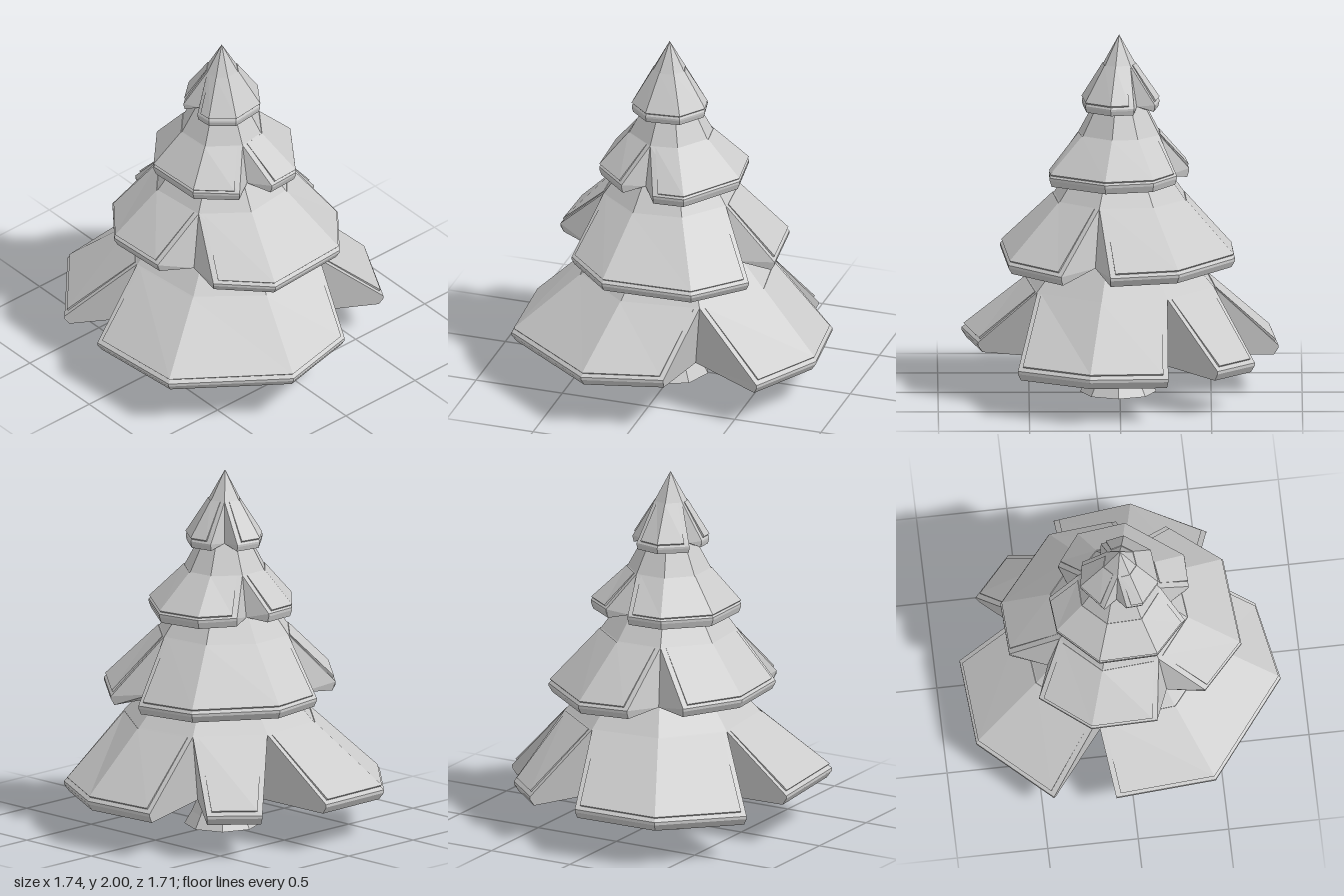
import * as THREE from 'three';

const material = new THREE.MeshStandardMaterial({ color: 0xcccccc, flatShading: true, side: THREE.DoubleSide });
const V = (x, y, z) => new THREE.Vector3(x, y, z);

// Collects triangles and quads into one faceted mesh
function facets(name, build) {
  const pos = [];
  const tri = (...corners) => corners.forEach((p) => pos.push(p.x, p.y, p.z));
  const quad = (a, b, c, d) => { tri(a, b, c); tri(a, c, d); };
  // Band between an upper and a lower row of points running left to right
  const band = (up, low) => {
    for (let i = 0; i + 1 < up.length; i++) quad(up[i], low[i], low[i + 1], up[i + 1]);
  };
  build({ tri, quad, band });
  const geometry = new THREE.BufferGeometry();
  geometry.setAttribute('position', new THREE.Float32BufferAttribute(pos, 3));
  geometry.computeVertexNormals();
  const mesh = new THREE.Mesh(geometry, material);
  mesh.name = name;
  return mesh;
}

// Moves the ends of a row inward by a small distance
function trimEnds(row, d) {
  const out = row.map((p) => p.clone());
  const n = row.length - 1;
  const toward = (p, q) => p.clone().lerp(q, Math.min(0.3, d / p.distanceTo(q)));
  out[0] = toward(row[0], row[1]);
  out[n] = toward(row[n], row[n - 1]);
  return out;
}

// One flap of foliage: corner angles, radius at both ends, extra radius between, rim height at both ends
const flap = (deg, from, to, bulge, yFrom, yTo) => ({ deg, from, to, bulge, yFrom, yTo });

// One layer of foliage: flaps around a center, parted by V notches
function makeTier(name, { cx, cz, top, mid, valley, drop }, flaps) {
  const polar = (a, r, y) => V(cx + Math.sin(a) * r, y, cz + Math.cos(a) * r);
  const radial = (p, r, y) => polar(Math.atan2(p.x - cx, p.z - cz), r, y);
  const rows = flaps.map(({ deg, from, to, bulge, yFrom, yTo }) => deg.map((d, k) => {
    const n = deg.length - 1;
    const r = THREE.MathUtils.lerp(from, to, k / n) + (k > 0 && k < n ? bulge : 0);
    return polar(THREE.MathUtils.degToRad(d), r, THREE.MathUtils.lerp(yFrom, yTo, k / n));
  }));
  const baseY = flaps.reduce((s, f) => s + (f.yFrom + f.yTo) / 2, 0) / flaps.length - drop + 0.03;
  const hub = V(cx, baseY, cz);
  // Notch i lies between flap i and the next
  const notches = rows.map((row, i) => {
    const dir = row[row.length - 1].clone().lerp(rows[(i + 1) % rows.length][0], 0.5);
    return { apex: radial(dir, mid.r, mid.y), low: radial(dir, valley, baseY), head: radial(dir, top.r, top.y) };
  });

  return facets(name, ({ tri, quad, band }) => {
    rows.forEach((rim, i) => {
      const n = rim.length - 1;
      const before = notches[(i + rows.length - 1) % rows.length];
      const after = notches[i];
      const ends = (key, k) => (k === 0 ? before[key] : k === n ? after[key] : null);
      const middle = rim.map((p, k) => ends('apex', k) || radial(p, mid.r, mid.y));
      const head = rim.map((p, k) => ends('head', k) || radial(p, top.r, top.y));
      const lip = rim.map((p) => V(p.x, p.y - drop * 0.3, p.z));
      const under = rim.map((p) => V(cx + (p.x - cx) * 0.97, p.y - drop, cz + (p.z - cz) * 0.97));

      // Slope, rim and underside
      band(head, middle);
      band(middle, rim);
      band(rim, lip);
      band(lip, under);
      for (let k = 0; k < n; k++) tri(under[k], hub, under[k + 1]);
      tri(before.low, hub, under[0]);
      tri(under[n], hub, after.low);

      // Notch walls
      tri(before.apex, before.low, rim[0]);
      quad(rim[0], before.low, under[0], lip[0]);
      tri(after.apex, rim[n], after.low);
      quad(rim[n], lip[n], under[n], after.low);

      // Slightly raised panel with a stepped lower edge
      const lift = (p, h) => p.clone().add(radial(p, h, h).sub(V(cx, 0, cz)));
      const seat = (t) => trimEnds(middle.map((p, k) => p.clone().lerp(rim[k], t)), 0.03);
      const seatTop = seat(0.02);
      const seatLow = seat(0.95);
      const panelTop = seatTop.map((p) => lift(p, 0.003));
      const panelLow = seatLow.map((p) => lift(p, 0.008));
      band(panelTop, panelLow);
      band(panelLow, seatLow);
      band(seatTop, panelTop);
      quad(seatTop[0], seatLow[0], panelLow[0], panelTop[0]);
      quad(panelTop[n], panelLow[n], seatLow[n], seatTop[n]);
    });
  });
}

export function createModel() {
  const tree = new THREE.Group();
  tree.name = 'pineTree';

  // Four layers of foliage, from the ground up
  tree.add(makeTier('lowestFoliage',
    { cx: 0, cz: 0, top: { r: 0.31, y: 0.87 }, mid: { r: 0.535, y: 0.625 }, valley: 0.44, drop: 0.055 }, [
      flap([-7, 29, 73, 103], 0.857, 0.8, 0.09, 0.29, 0.32),
      flap([139, 169, 198], 0.858, 0.85, 0.02, 0.26, 0.25),
      flap([220, 241], 0.83, 0.845, 0, 0.255, 0.255),
      flap([267, 298, 331], 0.871, 0.913, 0.05, 0.275, 0.255),
    ]));
  tree.add(makeTier('lowerFoliage',
    { cx: 0, cz: 0.04, top: { r: 0.23, y: 1.3 }, mid: { r: 0.375, y: 1.1 }, valley: 0.45, drop: 0.05 }, [
      flap([-52, -20, 14], 0.612, 0.609, 0.02, 0.82, 0.855),
      flap([45, 75, 118, 150], 0.608, 0.649, 0.06, 0.81, 0.76),
      flap([175, 209, 252, 279], 0.622, 0.623, 0.04, 0.765, 0.8),
    ]));
  tree.add(makeTier('upperFoliage',
    { cx: 0, cz: 0.04, top: { r: 0.12, y: 1.66 }, mid: { r: 0.23, y: 1.455 }, valley: 0.28, drop: 0.05 }, [
      flap([-96, -66, -22, 26, 64], 0.382, 0.385, 0.012, 1.26, 1.25),
      flap([94, 118, 169, 205, 235], 0.391, 0.38, 0.05, 1.235, 1.255),
    ]));
  tree.add(makeTier('topFoliage',
    { cx: 0.005, cz: 0.045, top: { r: 0.001, y: 2 }, mid: { r: 0.09, y: 1.84 }, valley: 0.14, drop: 0.037 }, [
      flap([5, 30, 71, 123, 168, 203], 0.19, 0.21, 0.018, 1.625, 1.625),
      flap([243, 282, 330], 0.22, 0.213, 0.01, 1.625, 1.625),
    ]));

  // Flared eight-sided trunk
  const profile = [[0, 0], [0.21, 0], [0.17, 0.07], [0.148, 0.12], [0.14, 0.32]];
  const trunk = new THREE.Mesh(
    new THREE.LatheGeometry(profile.map(([r, y]) => new THREE.Vector2(r, y)), 8), material);
  trunk.name = 'trunk';
  trunk.position.set(0.01, 0, 0.03);
  tree.add(trunk);

  // Tapered twig on the side of the trunk: [x, y, radius]
  const sections = [[0.12, 0.175, 0.085], [0.18, 0.195, 0.045], [0.25, 0.205, 0.028], [0.38, 0.22, 0.014]];
  tree.add(facets('twig', ({ band }) => {
    const rings = sections.map(([x, y, r]) => Array.from({ length: 7 }, (_, k) => {
      const a = (k / 6) * Math.PI * 2;
      return V(x, y + Math.cos(a) * r, 0.05 + Math.sin(a) * r);
    }));
    rings.push(rings[0].map(() => V(0.4, 0.222, 0.05)));
    for (let i = 0; i + 1 < rings.length; i++) band(rings[i + 1], rings[i]);
  }));
  return tree;
}
